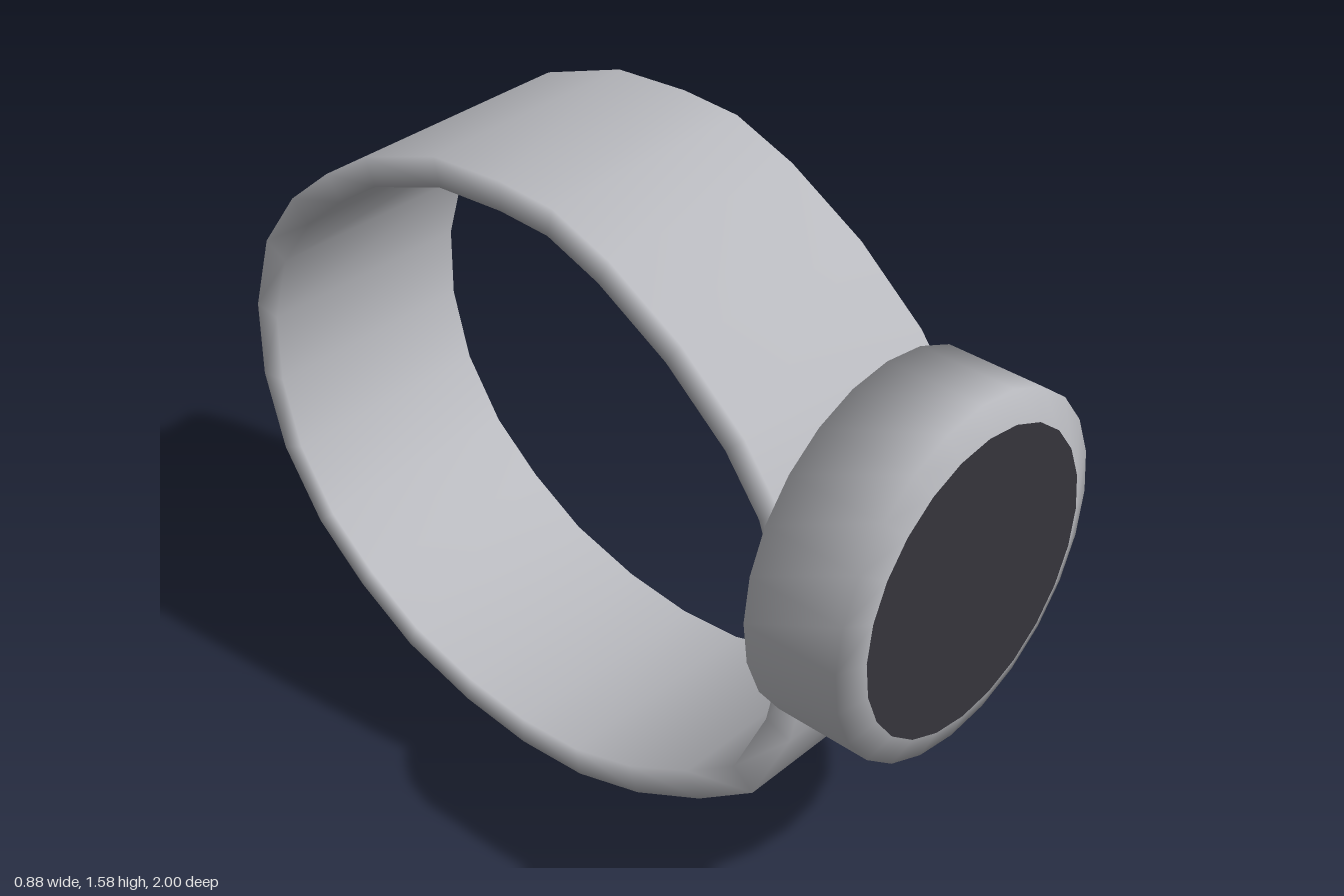
import * as THREE from 'three';
import { mergeVertices } from 'three/addons/utils/BufferGeometryUtils.js';

const metal = new THREE.MeshStandardMaterial({ color: 0xb8b9be });
metal.name = 'grey metal';
const glass = new THREE.MeshStandardMaterial({ color: 0x36353c });
glass.name = 'dark glass';

// Outer edge of the band as [z, y], from the back over the top to the front and under
const BAND = [
  [-1, 0.905], [-0.94, 1.11], [-0.825, 1.27], [-0.69, 1.385], [-0.55, 1.48], [-0.315, 1.565],
  [-0.11, 1.58], [0.05, 1.572], [0.215, 1.51], [0.42, 1.39], [0.6, 1.237], [0.71, 1.09],
  [0.77, 0.92], [0.797, 0.72], [0.755, 0.51], [0.655, 0.295], [0.495, 0.177], [0.3, 0.075],
  [0.107, 0.016], [-0.09, 0.003], [-0.29, 0.027], [-0.5, 0.09], [-0.675, 0.193],
  [-0.825, 0.32], [-0.943, 0.498], [-1, 0.7],
];

// Closed loop with a rectangular section, with shared vertices for soft edges
function bandGeometry(halfWidth, thickness) {
  const n = BAND.length, pos = [], index = [];
  BAND.forEach(([z, y], i) => {
    const p = BAND[(i + n - 1) % n], q = BAND[(i + 1) % n];
    const inward = new THREE.Vector2(q[1] - p[1], p[0] - q[0]).setLength(thickness);
    const zi = z + inward.x, yi = y + inward.y;
    pos.push(halfWidth, y, z, halfWidth, yi, zi, -halfWidth, yi, zi, -halfWidth, y, z);
    for (let j = 0; j < 4; j++) {
      const k = (j + 1) % 4, m = ((i + 1) % n) * 4;
      const a = i * 4 + j, b = m + j, c = i * 4 + k, d = m + k;
      index.push(a, b, c, b, d, c);
    }
  });
  const g = new THREE.BufferGeometry();
  g.setAttribute('position', new THREE.Float32BufferAttribute(pos, 3));
  g.setIndex(index);
  g.computeVertexNormals();
  return g;
}

// Round case with a bevelled front rim, turned to face +z
function caseGeometry() {
  const profile = [[0, 0.73], [0.44, 0.73], [0.44, 0.975], [0.37, 1]];
  let g = new THREE.LatheGeometry(profile.map(([r, h]) => new THREE.Vector2(r, h)), 24);
  g.deleteAttribute('normal');
  g.deleteAttribute('uv');
  g = mergeVertices(g);
  g.rotateX(Math.PI / 2);
  g.computeVertexNormals();
  return g;
}

export function createModel() {
  const group = new THREE.Group();
  group.name = 'wristWatch';
  const add = (name, geometry, material, y = 0, z = 0) => {
    const mesh = new THREE.Mesh(geometry, material);
    mesh.name = name;
    mesh.position.set(0, y, z);
    group.add(mesh);
  };

  add('band', bandGeometry(0.298, 0.073), metal);
  add('case', caseGeometry(), metal, 0.908);
  add('dial', new THREE.CircleGeometry(0.37, 24), glass, 0.908, 1);
  return group;
}
